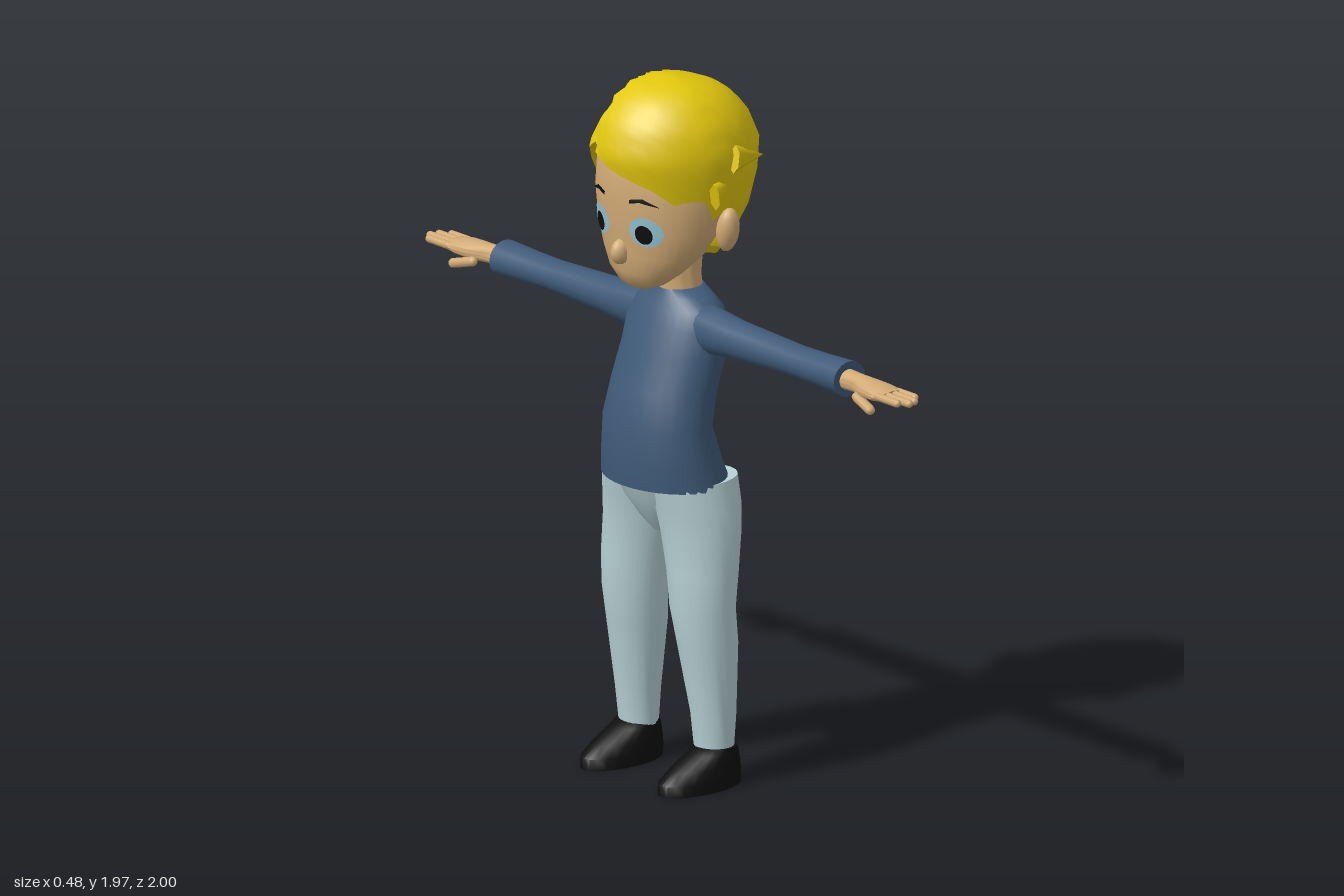
import * as THREE from 'three';
import { toCreasedNormals } from 'three/addons/utils/BufferGeometryUtils.js';

const mat = (name, color) => Object.assign(new THREE.MeshStandardMaterial({ color }), { name });
const skin = mat('skin', 0xd2ab76);
const yellow = mat('yellow hair', 0xe2c70e);
const blue = mat('blue knit', 0x3f5a78);
const denim = mat('pale denim', 0xb8d2d6);
const black = mat('black', 0x0e0e0e);
const eyeBlue = mat('eye blue', 0x94c3d2);

// Joins closed rings of points (listed from bottom to top) and caps both ends.
function skinRings(rings, crease = 0.9) {
  const n = rings[0].length, pos = [], idx = [];
  rings.forEach(r => r.forEach(p => pos.push(p.x, p.y, p.z)));
  const at = (j, i) => j * n + (i % n);
  for (let j = 0; j < rings.length - 1; j++)
    for (let i = 0; i < n; i++)
      idx.push(at(j, i), at(j, i + 1), at(j + 1, i), at(j, i + 1), at(j + 1, i + 1), at(j + 1, i));
  for (const j of [0, rings.length - 1]) {
    const c = new THREE.Vector3();
    rings[j].forEach(p => c.addScaledVector(p, 1 / n));
    const k = pos.length / 3;
    pos.push(c.x, c.y, c.z);
    for (let i = 0; i < n; i++) idx.push(k, at(j, i + (j ? 0 : 1)), at(j, i + (j ? 1 : 0)));
  }
  const g = new THREE.BufferGeometry();
  g.setAttribute('position', new THREE.Float32BufferAttribute(pos, 3));
  g.setIndex(idx);
  return toCreasedNormals(g, crease);
}

const ringPoint = ([y, x, w, front, back], a) => new THREE.Vector3(
  x + w * Math.sin(a), y, (front + back) / 2 + (front - back) / 2 * Math.cos(a));

// Rows are [y, centre x, half width, front z, back z].
function loft(rows, n = 24) {
  return skinRings(rows.map(r => Array.from({ length: n }, (_, i) => ringPoint(r, i / n * Math.PI * 2))));
}

// Linear lookup in a table sorted by its first column.
function lookup(table, v) {
  let k = 1;
  while (k < table.length - 1 && table[k][0] < v) k++;
  const a = table[k - 1], b = table[k];
  const t = THREE.MathUtils.clamp((v - a[0]) / (b[0] - a[0]), 0, 1);
  return a.map((q, i) => q + (b[i] - q) * t);
}

function add(parent, name, geometry, material) {
  const m = new THREE.Mesh(geometry, material);
  m.name = name;
  parent.add(m);
  return m;
}

// Lays a flat outline on a surface, seen along z (dir 1 = front, -1 = back).
function decal(target, outline, dir, lift) {
  const n = outline.length, K = 5, pos = [], idx = [];
  const cx = outline.reduce((s, p) => s + p[0], 0) / n, cy = outline.reduce((s, p) => s + p[1], 0) / n;
  const ray = new THREE.Raycaster();
  target.updateMatrixWorld();
  for (let k = 0; k <= K; k++) for (const p of outline) {
    const x = cx + (p[0] - cx) * k / K, y = cy + (p[1] - cy) * k / K;
    ray.set(new THREE.Vector3(x, y, dir), new THREE.Vector3(0, 0, -dir));
    const hit = ray.intersectObject(target)[0];
    pos.push(x, y, (hit ? hit.point.z : 0) + dir * lift);
  }
  const area = THREE.ShapeUtils.area(outline.map(p => new THREE.Vector2(p[0], p[1])));
  for (let k = 0; k < K; k++) for (let i = 0; i < n; i++) {
    const a = k * n + i, b = k * n + (i + 1) % n, c = a + n, d = b + n;
    idx.push(...(area * dir > 0 ? [a, c, d, a, d, b] : [a, d, c, a, b, d]));
  }
  const g = new THREE.BufferGeometry();
  g.setAttribute('position', new THREE.Float32BufferAttribute(pos, 3));
  g.setIndex(idx);
  g.computeVertexNormals();
  return g;
}

const oval = (x, y, rx, ry, n = 20) => Array.from({ length: n }, (_, i) =>
  [x + rx * Math.cos(i / n * Math.PI * 2), y + ry * Math.sin(i / n * Math.PI * 2)]);

// Rounded rod between two points.
function rod(a, b, r) {
  const p = new THREE.Vector3(...a), q = new THREE.Vector3(...b), d = q.clone().sub(p);
  const g = new THREE.CapsuleGeometry(r, d.length() - r, 3, 8);
  g.applyQuaternion(new THREE.Quaternion().setFromUnitVectors(new THREE.Vector3(0, 1, 0), d.normalize()));
  return g.translate(...p.add(q).multiplyScalar(0.5).toArray());
}

// Swept hair shell with an uneven hairline and a side parting.
function hairGeometry() {
  const rows = [[1.45, 0, .10, .10, -.115], [1.5, 0, .15, .16, -.15], [1.6, 0, .2, .2, -.205],
    [1.7, 0, .216, .225, -.235], [1.78, 0, .222, .24, -.24], [1.86, 0, .2, .215, -.205],
    [1.92, 0, .155, .165, -.145], [1.95, 0, .105, .115, -.07], [1.965, 0, .03, .04, 0]];
  const line = [[-180, 1.455], [-130, 1.46], [-108, 1.5], [-97, 1.62], [-84, 1.61], [-75, 1.55], [-62, 1.65],
    [-42, 1.75], [-22, 1.81], [-12, 1.78], [0, 1.75], [35, 1.7], [60, 1.63], [73, 1.555], [84, 1.61],
    [97, 1.62], [108, 1.5], [130, 1.46], [180, 1.455]];
  const n = 60, m = 16, rings = [];
  for (let j = -1; j <= m; j++) rings.push(Array.from({ length: n }, (_, i) => {
    const deg = i / n * 360 - 180, a = deg * Math.PI / 180, low = lookup(line, deg)[1];
    const y = low + (1.965 - low) * Math.sin(Math.max(j, 0) / m * Math.PI / 2);
    const p = ringPoint(lookup(rows, y), a);
    if (j < 0) { p.x *= 0.75; p.z *= 0.75; }
    else if (p.x < -0.065 && p.z > -0.09 && p.y > 1.7) {
      const f = 1 - 0.07 * Math.min(1, (p.y - 1.7) / 0.15) * Math.min(1, (p.z + 0.09) / 0.06);
      p.set(p.x * f, 1.7 + (p.y - 1.7) * (1 - (1 - f) * 2.2), p.z * f);
    }
    return p;
  }));
  return skinRings(rings, 0.7);
}

export function createModel() {
  const body = new THREE.Group();
  body.name = 'figure';

  // Torso and neck
  add(body, 'sweater', loft([[.838, 0, .2, .176, -.125], [.9, 0, .19, .18, -.1], [1, 0, .178, .175, -.066],
    [1.1, 0, .17, .15, -.09], [1.2, 0, .17, .11, -.12], [1.27, 0, .168, .088, -.12],
    [1.32, 0, .15, .062, -.115], [1.347, 0, .11, .045, -.1], [1.37, 0, .063, .032, -.09]], 32), blue);
  add(body, 'neck', loft([[1.33, 0, .066, .035, -.088], [1.4, 0, .06, .035, -.082], [1.5, 0, .066, .05, -.09]]), skin);
  add(body, 'hips', loft([[.69, 0, .04, .06, -.05], [.73, 0, .1, .09, -.085], [.79, 0, .17, .125, -.112],
    [.855, 0, .197, .15, -.123]], 32), denim);

  // Head
  const head = add(body, 'head', loft([[1.39, 0, .04, .14, .075], [1.405, 0, .075, .16, .05],
    [1.44, 0, .12, .175, .01], [1.49, 0, .16, .182, -.05], [1.56, 0, .192, .19, -.1], [1.65, 0, .203, .2, -.13],
    [1.74, 0, .2, .197, -.15], [1.82, 0, .17, .175, -.13], [1.88, 0, .1, .11, -.08]], 36), skin);
  add(body, 'nose', new THREE.SphereGeometry(1, 14, 10).scale(.024, .036, .032).rotateX(-.25).translate(0, 1.5, .183), skin);
  add(body, 'hair', hairGeometry(), yellow);
  for (const [y, z, tilt] of [[1.755, -.1, -1.75], [1.69, -.03, -1.4]])
    add(body, 'hairTuft', new THREE.ConeGeometry(.04, .16, 6).scale(.4, 1, 1)
      .rotateX(tilt).rotateY(.35).translate(.197, y, z), yellow);

  for (const s of [1, -1]) {
    const side = s > 0 ? 'left' : 'right';

    // Face details
    add(body, side + 'Ear', new THREE.SphereGeometry(1, 14, 10).scale(.03, .063, .033)
      .rotateZ(-s * .15).translate(s * .213, 1.572, -.012), skin);
    add(body, side + 'Eye', decal(head, oval(s * .09, 1.572, .048, .042), 1, .003), eyeBlue);
    add(body, side + 'Pupil', decal(head, oval(s * .088, 1.565, .025, .027), 1, .006), black);
    add(body, side + 'Brow', decal(head, [[s * .05, 1.65], [s * .09, 1.658], [s * .135, 1.648],
      [s * .09, 1.668], [s * .05, 1.66]], 1, .004), black);

    // Sleeve, lofted upright and then laid out sideways
    const lay = g => g.rotateZ(-s * Math.PI / 2).translate(0, 1.27, 0);
    add(body, side + 'Sleeve', lay(loft([[.08, 0, .07, .04, -.08], [.17, 0, .063, .042, -.075], [.25, 0, .054, .04, -.07],
      [.5, 0, .043, .034, -.065], [.6, 0, .045, .037, -.067], [.71, 0, .05, .04, -.07]], 18)), blue);

    // Hand
    add(body, side + 'Hand', lay(loft([[.68, 0, .03, .02, -.042], [.76, 0, .026, .02, -.042], [.81, 0, .026, .04, -.047],
      [.86, 0, .022, .046, -.052], [.9, 0, .014, .042, -.048]], 16)), skin);
    [[.034, .975], [.011, .998], [-.014, .99], [-.037, .965]].forEach(([z, tip]) =>
      add(body, side + 'Finger', rod([s * .88, 1.272, z], [s * (tip - .006), 1.272, z], .0115), skin));
    add(body, side + 'Thumb', rod([s * .785, 1.25, .028], [s * .865, 1.228, .04], .014), skin);

    // Trouser leg with back pocket
    const leg = add(body, side + 'Leg', loft([[.1, .155, .056, .04, -.065], [.2, .155, .065, .05, -.07],
      [.4, .145, .085, .085, -.08], [.5, .14, .095, .1, -.07], [.6, .134, .101, .105, -.085], [.7, .119, .11, .11, -.105],
      [.78, .109, .11, .125, -.118], [.855, .102, .096, .14, -.118]].map(([y, x, ...r]) => [y, s * x, ...r])), denim);
    add(body, side + 'Pocket', decal(leg, [[.05, .755], [.1, .772], [.16, .788], [.198, .765], [.195, .71],
      [.187, .66], [.125, .615], [.07, .645], [.06, .7]].map(([x, y]) => [s * x, y]), -1, .005), blue);

    // Shoe
    add(body, side + 'Shoe', loft([[0, .16, .07, .18, -.09], [.03, .16, .071, .177, -.092], [.06, .16, .067, .135, -.088],
      [.095, .16, .062, .065, -.078], [.11, .16, .06, .04, -.07]].map(([y, x, ...r]) => [y, s * x, ...r])), black);
  }

  // The figure looks along -x with its arms along z
  body.rotation.y = -Math.PI / 2;
  const model = new THREE.Group();
  model.name = 'boy';
  model.add(body);
  return model;
}
